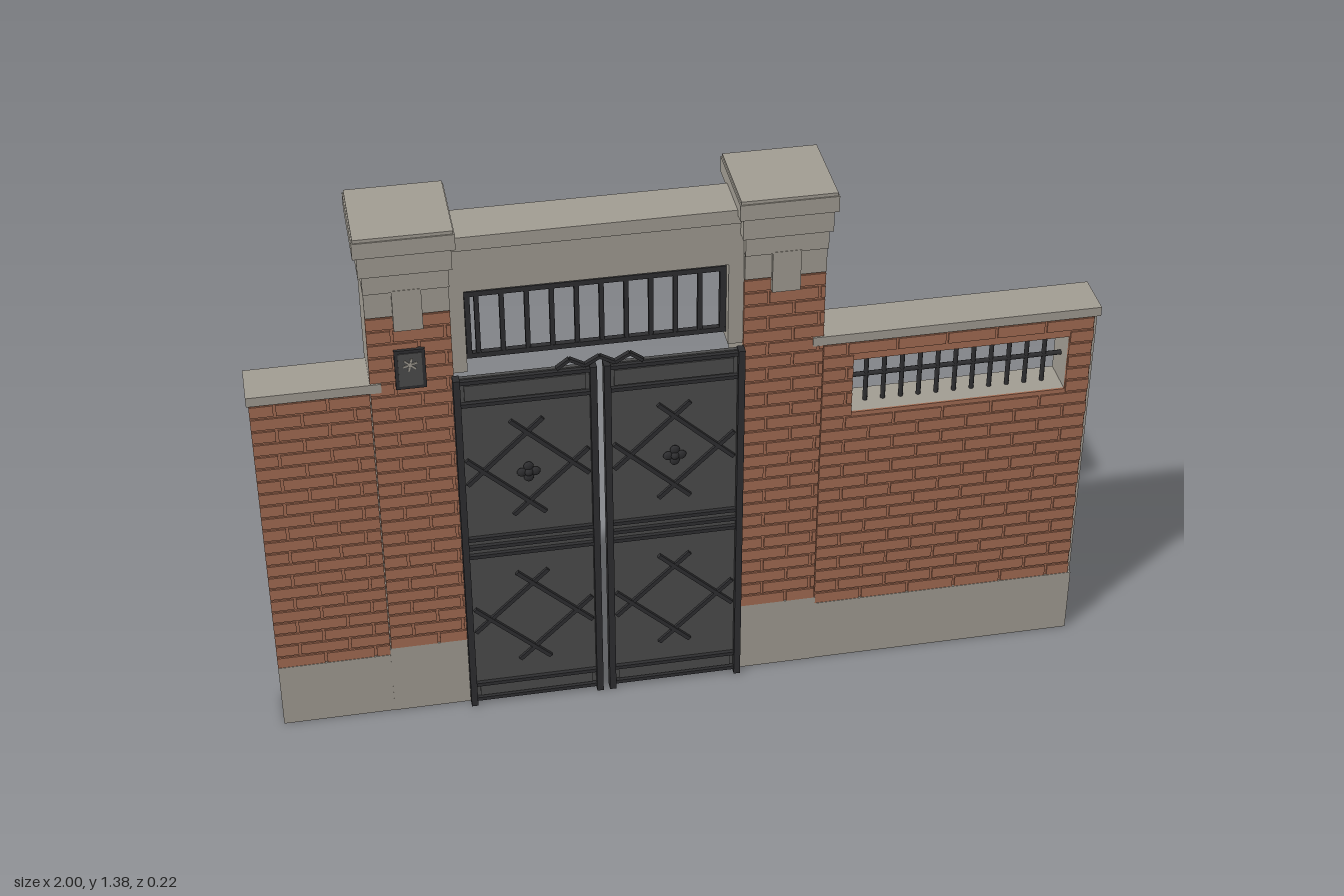
import * as THREE from 'three';
import { mergeGeometries } from 'three/addons/utils/BufferGeometryUtils.js';

const mat = (name, color) => {
  const m = new THREE.MeshStandardMaterial({ color });
  m.name = name;
  return m;
};

export function createModel() {
  const stone = mat('stone', 0xa19c92);
  const brick = mat('brick', 0xa26b52);
  const panel = mat('door panel', 0x4c4c4c);
  const iron = mat('dark iron', 0x2e2e30);
  const root = new THREE.Group();
  root.name = 'gateway';

  const add = (name, geo, material, parent = root) => {
    const m = new THREE.Mesh(geo, material);
    m.name = name;
    parent.add(m);
    return m;
  };
  // Box from its minimum and maximum corners
  const boxGeo = (x0, x1, y0, y1, z0, z1) =>
    new THREE.BoxGeometry(x1 - x0, y1 - y0, z1 - z0)
      .translate((x0 + x1) / 2, (y0 + y1) / 2, (z0 + z1) / 2);
  // Flat bar between two points in the xy plane
  const barGeo = (ax, ay, bx, by, z, w, d) =>
    new THREE.BoxGeometry(Math.hypot(bx - ax, by - ay), w, d)
      .rotateZ(Math.atan2(by - ay, bx - ax))
      .translate((ax + bx) / 2, (ay + by) / 2, z);
  const box = (name, material, parent, ...b) => add(name, boxGeo(...b), material, parent);

  // Upright slab with an optional rectangular opening
  const slabGeo = (x0, x1, y0, y1, z0, z1, hole) => {
    if (!hole) return boxGeo(x0, x1, y0, y1, z0, z1);
    const rect = (C, a, b, c, d) => {
      const p = new C();
      p.moveTo(a, c); p.lineTo(b, c); p.lineTo(b, d); p.lineTo(a, d); p.closePath();
      return p;
    };
    const s = rect(THREE.Shape, x0, x1, y0, y1);
    s.holes.push(rect(THREE.Path, ...hole));
    return new THREE.ExtrudeGeometry(s, { depth: z1 - z0, bevelEnabled: false }).translate(0, 0, z0);
  };

  // Thin backing with raised bricks in running bond
  const brickFace = (parent, x0, x1, y0, y1, z, hole) => {
    const geos = [];
    const rows = Math.round((y1 - y0) / 0.0355), h = (y1 - y0) / rows, len = 0.12, gap = 0.006;
    for (let r = 0; r < rows; r++) {
      const a = y0 + r * h, b = a + h - gap;
      const inHole = hole && b > hole[2] && a < hole[3];
      const spans = inHole ? [[x0, hole[0]], [hole[1], x1]] : [[x0, x1]];
      for (const [s0, s1] of spans) {
        for (let x = x0 - (r % 2) * len / 2; x < s1; x += len) {
          const l = Math.max(x, s0), e = Math.min(x + len - gap, s1);
          if (e - l > 0.008) geos.push(boxGeo(l, e, a, b, z, z + 0.005));
        }
      }
    }
    add('brickBacking', slabGeo(x0, x1, y0, y1, z - 0.004, z + 0.001, hole), brick, parent);
    add('bricks', mergeGeometries(geos), brick, parent);
  };

  // Side walls: plinth, core, brick facing and coping
  const windowHole = [0.405, 0.93, 0.75, 0.9];
  const wall = (name, x0, x1, b0, b1, hole) => {
    const g = new THREE.Group();
    g.name = name;
    root.add(g);
    box('wallPlinth', stone, g, x0, x1, 0, 0.178, -0.025, 0.082);
    add('wallCore', slabGeo(x0, x1, 0.178, 0.956, -0.02, 0.073, hole), stone, g);
    brickFace(g, b0, b1, 0.178, 0.956, 0.076, hole);
    box('wallCoping', stone, g, Math.max(x0 - 0.005, -1), Math.min(x1 + 0.005, 1), 0.956, 0.98, -0.028, 0.085);
    return g;
  };
  wall('rightWall', -0.995, -0.7, -0.995, -0.722);
  const leftWall = wall('leftWall', 0.31, 0.995, 0.332, 0.988, windowHole);

  // Window bars
  const bars = [];
  for (let i = 0; i < 11; i++) {
    bars.push(new THREE.CylinderGeometry(0.006, 0.006, 0.15, 8)
      .translate(0.45 + i * 0.0437, 0.825, 0.03));
  }
  bars.push(new THREE.CylinderGeometry(0.006, 0.006, 0.525, 8).rotateZ(Math.PI / 2).translate(0.667, 0.825, 0.03));
  add('windowBars', mergeGeometries(bars), iron, leftWall);

  // Pillars
  const pillar = (name, cx) => {
    const g = new THREE.Group();
    g.name = name;
    root.add(g);
    const block = (n, w, y0, y1, z0, z1) => box(n, stone, g, cx - w, cx + w, y0, y1, z0, z1);
    block('pillarBase', 0.098, 0, 0.198, -0.095, 0.083);
    block('pillarShaft', 0.095, 0.198, 1.23, -0.08, 0.075);
    brickFace(g, cx - 0.095, cx + 0.095, 0.198, 1.16, 0.078);
    block('pillarNeck', 0.095, 1.16, 1.23, -0.078, 0.086);
    block('neckTongue', 0.033, 1.125, 1.232, 0.07, 0.096);
    block('capLower', 0.096, 1.228, 1.277, -0.095, 0.095);
    block('capMiddle', 0.104, 1.277, 1.332, -0.103, 0.103);
    block('capTop', 0.113, 1.332, 1.372, -0.111, 0.111);
    block('capCrown', 0.11, 1.372, 1.38, -0.108, 0.108);
    return g;
  };
  const rightPillar = pillar('rightPillar', -0.625);
  pillar('leftPillar', 0.235);

  // Letter plate with a small star
  box('letterPlate', iron, rightPillar, -0.662, -0.592, 0.963, 1.068, 0.078, 0.09);
  box('letterPlateFace', panel, rightPillar, -0.654, -0.6, 0.972, 1.06, 0.088, 0.092);
  for (let i = 0; i < 3; i++) {
    const a = i * Math.PI / 3 + 0.3, c = 0.017 * Math.cos(a), s = 0.017 * Math.sin(a);
    add('plateStar', barGeo(-0.627 - c, 1.03 - s, -0.627 + c, 1.03 + s, 0.092, 0.004, 0.004), stone, rightPillar);
  }

  // Lintel with coping and short hanging jambs
  box('lintel', stone, root, -0.535, 0.145, 1.198, 1.31, -0.028, 0.075);
  box('lintelCoping', stone, root, -0.535, 0.145, 1.31, 1.345, -0.036, 0.083);
  box('rightJamb', stone, root, -0.535, -0.497, 0.982, 1.2, -0.028, 0.075);
  box('leftJamb', stone, root, 0.105, 0.145, 0.982, 1.2, -0.028, 0.075);

  // Transom grille
  const grille = [
    boxGeo(-0.497, 0.105, 1.168, 1.181, 0.038, 0.052),
    boxGeo(-0.497, 0.105, 1.002, 1.015, 0.038, 0.052),
    boxGeo(-0.494, -0.482, 1.002, 1.181, 0.038, 0.052),
    boxGeo(0.09, 0.102, 1.002, 1.181, 0.038, 0.052),
  ];
  for (let i = 0; i < 11; i++) {
    const x = -0.467 + i * 0.0568;
    grille.push(boxGeo(x - 0.0055, x + 0.0055, 1.01, 1.175, 0.039, 0.051));
  }
  add('transomGrille', mergeGeometries(grille), iron);

  // Door leaves, mirrored about the gap at x = -0.197
  const mid = -0.197;
  for (const s of [-1, 1]) {
    const leaf = new THREE.Group();
    leaf.name = s < 0 ? 'rightDoorLeaf' : 'leftDoorLeaf';
    leaf.position.x = mid + s * 0.173;
    root.add(leaf);
    const H = 0.165;
    box('doorPanel', panel, leaf, -H, H, 0.012, 0.975, 0.08, 0.09);

    // Stiles and rails
    const frame = [];
    for (const e of [-1, 1]) {
      const c = e * (H - 0.008);
      frame.push(boxGeo(c - 0.008, c + 0.008, 0, 0.978, 0.08, 0.105));
    }
    for (const y of [0.016, 0.062, 0.462, 0.488, 0.514, 0.904, 0.967]) {
      frame.push(boxGeo(-H, H, y - 0.005, y + 0.005, 0.085, 0.1));
    }
    add('doorFrame', mergeGeometries(frame), iron, leaf);
    for (const [a, b] of [[0.024, 0.054], [0.914, 0.956]])
      box('railPanel', panel, leaf, -0.14, 0.14, a, b, 0.088, 0.095);

    // Crossed diagonal bars over each panel
    const lattice = [];
    for (const cy of [0.262, 0.71]) {
      for (const sx of [-1, 1]) for (const sy of [-1, 1]) {
        const w = 0.105, h = 0.1, k = 0.36;
        lattice.push(barGeo(sx * w * (1 + k), cy - sy * h * k,
          -sx * w * k, cy + sy * h * (1 + k), 0.094, 0.01, 0.008 + sx * sy * 0.001));
      }
    }
    add('diagonalBars', mergeGeometries(lattice), iron, leaf);

    // Rosette on the upper panel
    const rosette = [new THREE.SphereGeometry(0.011, 10, 8).translate(0, 0.7, 0.1)];
    for (let i = 0; i < 4; i++) {
      const a = i * Math.PI / 2;
      rosette.push(new THREE.SphereGeometry(0.012, 10, 8).scale(1, 1, 0.5)
        .translate(0.016 * Math.cos(a), 0.7 + 0.016 * Math.sin(a), 0.1));
    }
    add('rosette', mergeGeometries(rosette), iron, leaf);
  }

  // Zigzag crest over the meeting stiles
  const crest = [[-0.1, 0.978], [-0.07, 1], [-0.035, 0.98], [0, 1], [0.035, 0.98], [0.07, 1], [0.1, 0.978]];
  add('doorCrest', mergeGeometries(crest.slice(1).map((p, i) =>
    barGeo(mid + crest[i][0], crest[i][1], mid + p[0], p[1], 0.093, 0.008, 0.012))), iron);

  return root;
}
